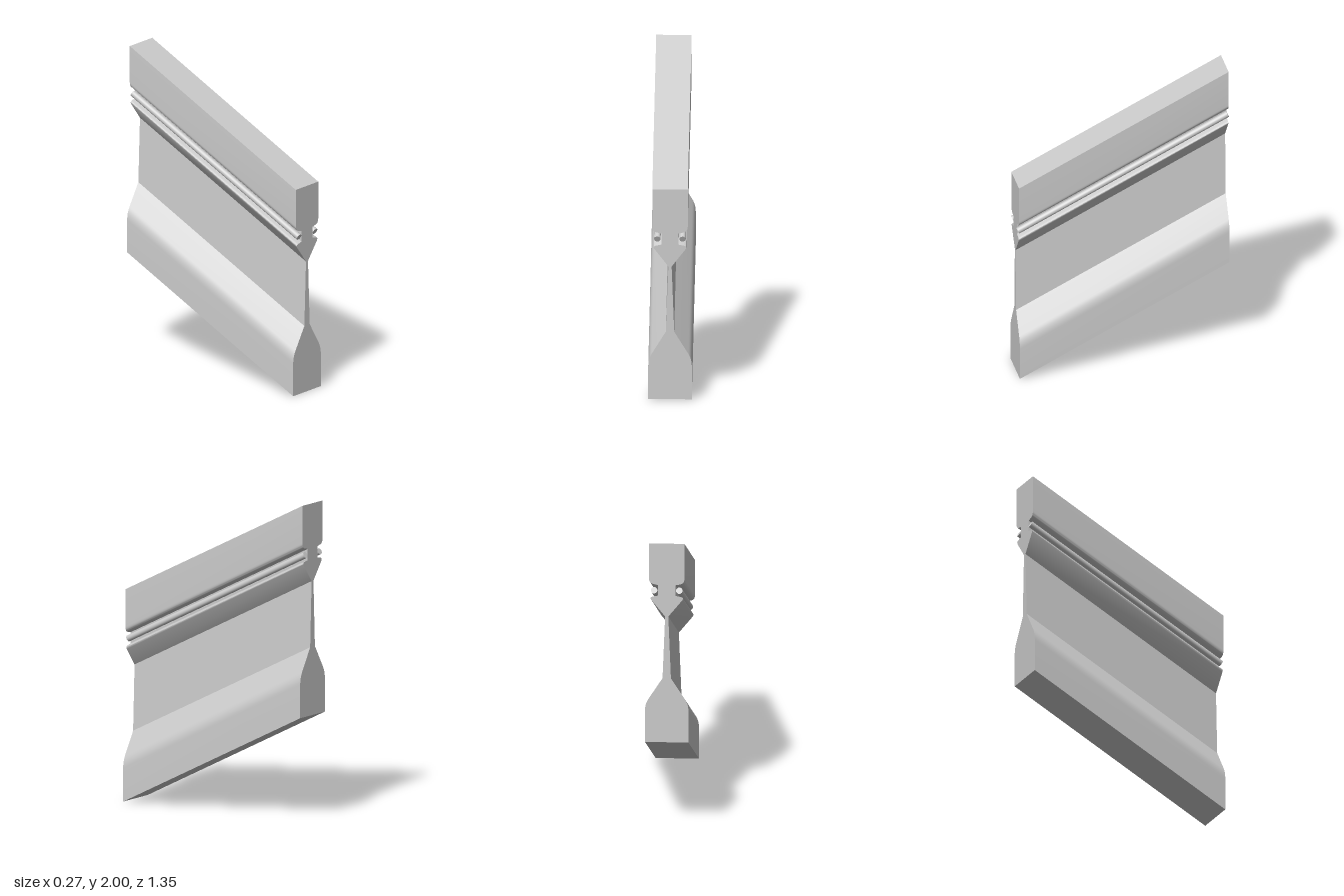
import * as THREE from 'three';
import { toCreasedNormals } from 'three/addons/utils/BufferGeometryUtils.js';

const HALF = 0.665; // half depth along z
const RISE = 0.667; // height gained from front to back

export function createModel() {
  const group = new THREE.Group();
  const material = new THREE.MeshStandardMaterial({ color: 0xcccccc });

  // Right half of the rail's cross-section, bottom to top
  const foot = new THREE.QuadraticBezierCurve(
    new THREE.Vector2(0.135, 0.21), new THREE.Vector2(0.135, 0.255), new THREE.Vector2(0.113, 0.29)).getPoints(6);
  const lip = new THREE.QuadraticBezierCurve(
    new THREE.Vector2(0.096, 0.955), new THREE.Vector2(0.108, 0.972), new THREE.Vector2(0.09, 0.977)).getPoints(5);
  const shoulder = new THREE.QuadraticBezierCurve(
    new THREE.Vector2(0.088, 1.063), new THREE.Vector2(0.11, 1.07), new THREE.Vector2(0.11, 1.1)).getPoints(6);
  const half = [
    new THREE.Vector2(0.135, 0), ...foot,
    new THREE.Vector2(0.026, 0.43), new THREE.Vector2(0.01, 0.845),
    ...lip,
    new THREE.Vector2(0.053, 0.985), new THREE.Vector2(0.053, 1.055),
    ...shoulder,
    new THREE.Vector2(0.11, 1.335),
  ];
  const mirrored = half.map(p => new THREE.Vector2(-p.x, p.y)).reverse();
  const section = new THREE.Shape([...half, ...mirrored]);

  // Straight extrusion, then sheared upward toward the back
  const rail = new THREE.ExtrudeGeometry(section, { depth: 2 * HALF, bevelEnabled: false });
  rail.translate(0, 0, -HALF);
  const pos = rail.attributes.position;
  for (let i = 0; i < pos.count; i++) {
    pos.setY(i, pos.getY(i) + RISE * (HALF - pos.getZ(i)) / (2 * HALF));
  }
  const railMesh = new THREE.Mesh(toCreasedNormals(rail, 0.5), material);
  railMesh.name = 'slopedRail';
  group.add(railMesh);

  // Round rod seated in the groove on each side
  const rodGeometry = new THREE.CylinderGeometry(0.02, 0.02, Math.hypot(2 * HALF, RISE), 20);
  for (const side of [-1, 1]) {
    const rod = new THREE.Mesh(rodGeometry, material);
    rod.name = side > 0 ? 'leftGrooveRod' : 'rightGrooveRod';
    rod.rotation.x = -Math.atan2(2 * HALF, RISE);
    rod.position.set(side * 0.078, 1.02 + RISE / 2, 0);
    group.add(rod);
  }
  return group;
}
